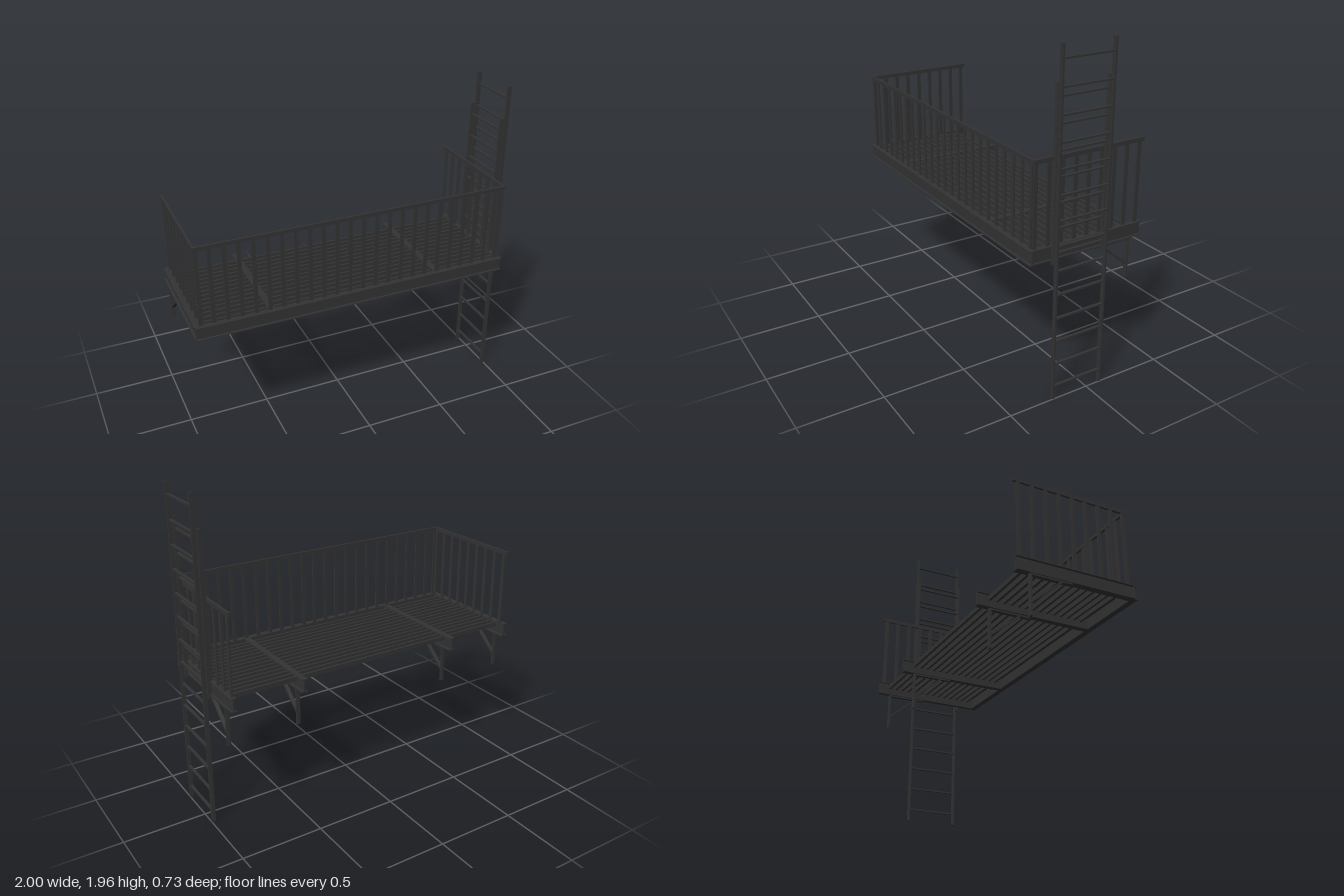
import * as THREE from 'three';

const steel = new THREE.MeshStandardMaterial({ color: 0x333333 });

// Box given by its extents on each axis
function bar(parent, name, [x0, x1], [y0, y1], [z0, z1]) {
  const mesh = new THREE.Mesh(new THREE.BoxGeometry(x1 - x0, y1 - y0, z1 - z0), steel);
  mesh.name = name;
  mesh.position.set((x0 + x1) / 2, (y0 + y1) / 2, (z0 + z1) / 2);
  parent.add(mesh);
}

const around = (c, size) => [c - size / 2, c + size / 2];

function group(parent, name) {
  const g = new THREE.Group();
  g.name = name;
  parent.add(g);
  return g;
}

// I-section beam, extruded along z
function iBeam(parent, name, width, length) {
  const w = width / 2, h = 0.041, web = 0.005, t = 0.006;
  const half = [[w, -h], [w, -h + t], [web, -h + t], [web, h - t], [w, h - t], [w, h]];
  const mirrored = half.map(([x, y]) => [-x, y]).reverse();
  const shape = new THREE.Shape([...half, ...mirrored].map(([x, y]) => new THREE.Vector2(x, y)));
  const geo = new THREE.ExtrudeGeometry(shape, { depth: length, bevelEnabled: false });
  geo.translate(0, 0, -length / 2);
  const mesh = new THREE.Mesh(geo, steel);
  mesh.name = name;
  parent.add(mesh);
  return mesh;
}

// Two flat stiles with flat rungs between them
function ladder(parent, name, x, yRange, firstRung, rungs) {
  const g = group(parent, name);
  const zBack = -0.095, zFront = 0.222;
  for (const z of [zBack, zFront]) bar(g, 'ladderStile', around(x, 0.025), yRange, around(z, 0.011));
  for (let i = 0; i < rungs; i++) {
    bar(g, 'ladderRung', around(x, 0.016), around(firstRung + i * 0.1396, 0.01), [zBack, zFront]);
  }
}

// Wall bracket: top strip, wall strip and diagonal brace
function bracket(parent, x) {
  const g = group(parent, 'bracket');
  const wide = around(x, 0.024);
  bar(g, 'bracketTop', wide, [0.816, 0.828], [-0.288, -0.04]);
  bar(g, 'bracketWallStrip', wide, [0.592, 0.826], around(-0.283, 0.011));
  const dz = 0.183, dy = 0.152;
  const brace = new THREE.Mesh(new THREE.BoxGeometry(0.022, 0.011, Math.hypot(dz, dy)), steel);
  brace.name = 'bracketBrace';
  brace.position.set(x, 0.744, -0.192);
  brace.rotation.x = -Math.atan2(dy, dz);
  g.add(brace);
}

export function createModel() {
  const model = new THREE.Group();
  model.name = 'fireEscapeBalcony';

  // Frame beams
  const frame = group(model, 'frame');
  for (const [x, w] of [[-0.98, 0.04], [-0.548, 0.036], [0.507, 0.036], [0.941, 0.03]]) {
    iBeam(frame, 'crossBeam', w, 0.71).position.set(x, 0.866, -0.01);
  }
  const front = iBeam(frame, 'frontBeam', 0.036, 1.95);
  front.rotation.y = Math.PI / 2;
  front.position.set(-0.018, 0.866, 0.346);

  // Floor slats, set high between the beams
  const floor = group(model, 'floor');
  for (let i = 0; i < 14; i++) {
    bar(floor, 'floorSlat', [-0.975, 0.938], [0.87, 0.898], around(-0.288 + i * 0.0446, 0.013));
  }

  // Railing of flat bars on the front and both ends
  const railing = group(model, 'railing');
  const railY = [1.366, 1.39], postY = [0.9, 1.37];
  const wide = 0.023, thin = 0.009, railDepth = 0.013;
  const frontZ = 0.336;
  bar(railing, 'frontRail', [-0.97, 0.945], railY, around(frontZ, railDepth));
  bar(railing, 'cornerBaluster', around(-0.955, wide), postY, around(frontZ, thin));
  for (let i = 0; i < 23; i++) {
    bar(railing, 'frontBaluster', around(-0.882 + i * 0.0817, wide), postY, around(frontZ, thin));
  }
  for (const x of [-0.9635, 0.9385]) {
    bar(railing, 'endRail', around(x, railDepth), railY, [-0.363, 0.342]);
    for (let i = 0; i < 9; i++) {
      bar(railing, 'endBaluster', around(x, thin), postY, around(0.327 - i * 0.0825, wide));
    }
  }

  // Wall brackets under the beams
  for (const x of [-0.982, -0.544, 0.508, 0.946]) bracket(model, x);

  // Short inner ladder and long outer ladder
  ladder(model, 'innerLadder', 0.957, [0.8, 1.77], 0.86, 7);
  ladder(model, 'outerLadder', 0.9875, [0, 1.963], 0.075, 14);

  return model;
}
